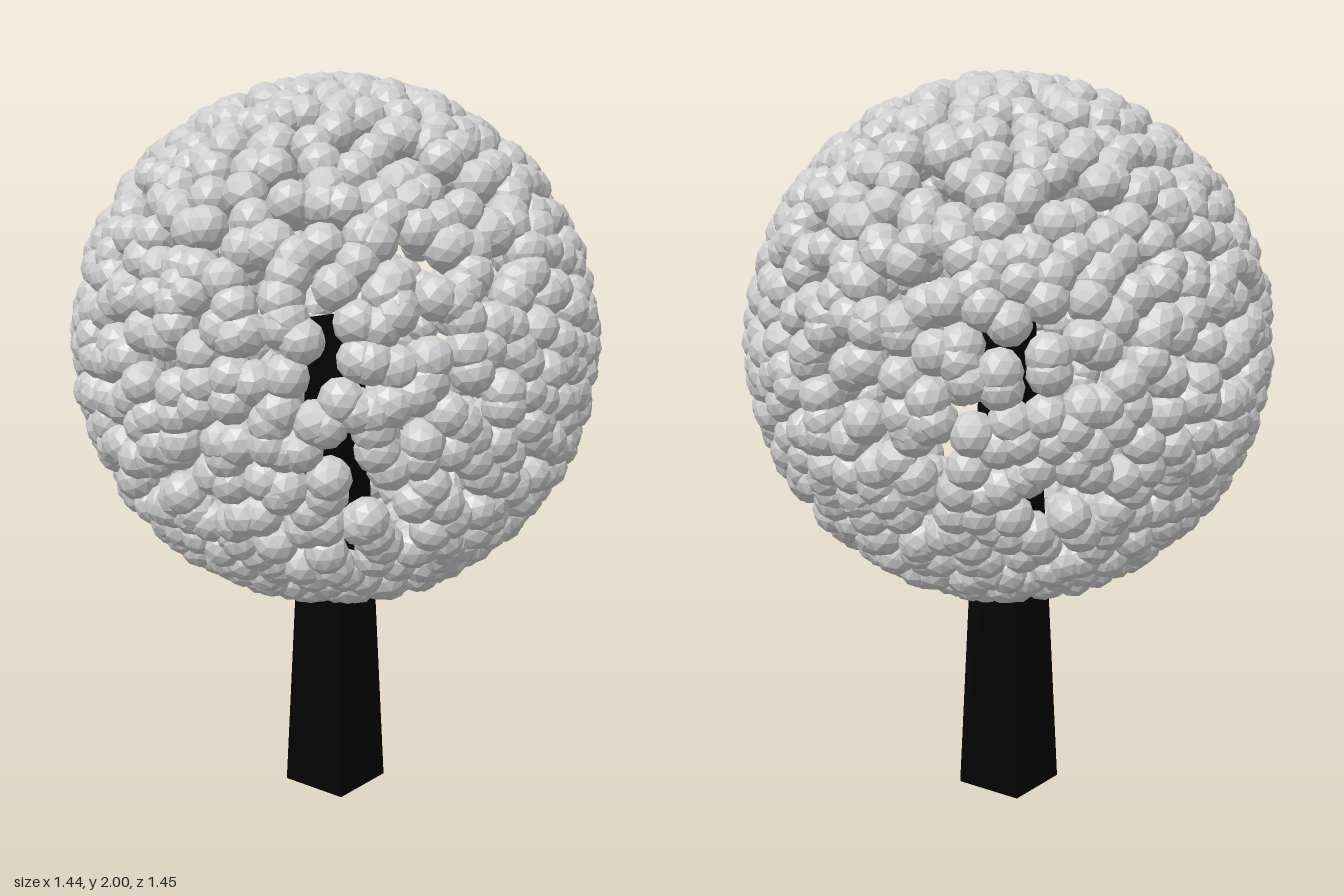
import * as THREE from 'three';
import { mergeGeometries } from 'three/addons/utils/BufferGeometryUtils.js';

// Small seeded generator, 0..1
function seeded(seed) {
  return () => {
    seed = (seed * 1664525 + 1013904223) % 4294967296;
    return seed / 4294967296;
  };
}

const CENTRE_Y = 1.28, SHELL = 0.665, BALL = 0.057, COUNT = 960;

// Directions of the small gaps in the crown
const gaps = [
  [0.09, 0.08, 0.65], [0, -0.25, 0.6], [0.66, -0.1, 0.03],
  [0.37, -0.29, 0.45], [0.37, -0.29, -0.45], [-0.38, -0.29, 0.45], [-0.38, -0.29, -0.45],
  [0.22, 0.53, -0.33], [0, 0.65, -0.16], [-0.24, 0.55, 0.28], [0.23, 0.6, 0.14],
].map((d) => new THREE.Vector3(...d).normalize());

// Hollow crown: faceted balls scattered unevenly over a sphere
function foliageGeometry() {
  const rand = seeded(7);
  const balls = [];
  for (let i = 0; i < COUNT; i++) {
    const v = 1 - (2 * (i + 0.5)) / COUNT;
    const angle = i * Math.PI * (3 - Math.sqrt(5));
    const ring = Math.sqrt(1 - v * v);
    const dir = new THREE.Vector3(ring * Math.cos(angle), v, ring * Math.sin(angle));
    const jitter = new THREE.Vector3(rand() - 0.5, rand() - 0.5, rand() - 0.5);
    dir.addScaledVector(jitter, 0.13).normalize();
    const turn = [rand() * 6.28, rand() * 6.28];
    const radius = SHELL + (rand() - 0.5) * 0.01;
    if (gaps.some((g) => g.angleTo(dir) < 0.08)) continue;
    const ball = new THREE.IcosahedronGeometry(BALL, 1);
    ball.rotateX(turn[0]).rotateY(turn[1]);
    dir.multiplyScalar(radius);
    ball.translate(dir.x, dir.y + CENTRE_Y, dir.z);
    balls.push(ball);
  }
  return mergeGeometries(balls);
}

// Square trunk tapering upwards into the crown
function trunkGeometry(height, baseHalf, topHalf) {
  const geo = new THREE.CylinderGeometry(topHalf * Math.SQRT2, baseHalf * Math.SQRT2, height, 4);
  return geo.rotateY(Math.PI / 4).translate(0, height / 2, 0);
}

export function createModel() {
  const tree = new THREE.Group();
  tree.name = 'tree';

  const trunk = new THREE.Mesh(
    trunkGeometry(1.35, 0.101, 0.053),
    new THREE.MeshStandardMaterial({ color: 0x020202, flatShading: true })
  );
  trunk.name = 'trunk';

  const foliage = new THREE.Mesh(
    foliageGeometry(),
    new THREE.MeshStandardMaterial({ color: 0xcccccc, flatShading: true })
  );
  foliage.name = 'foliage';

  tree.add(trunk, foliage);
  return tree;
}
